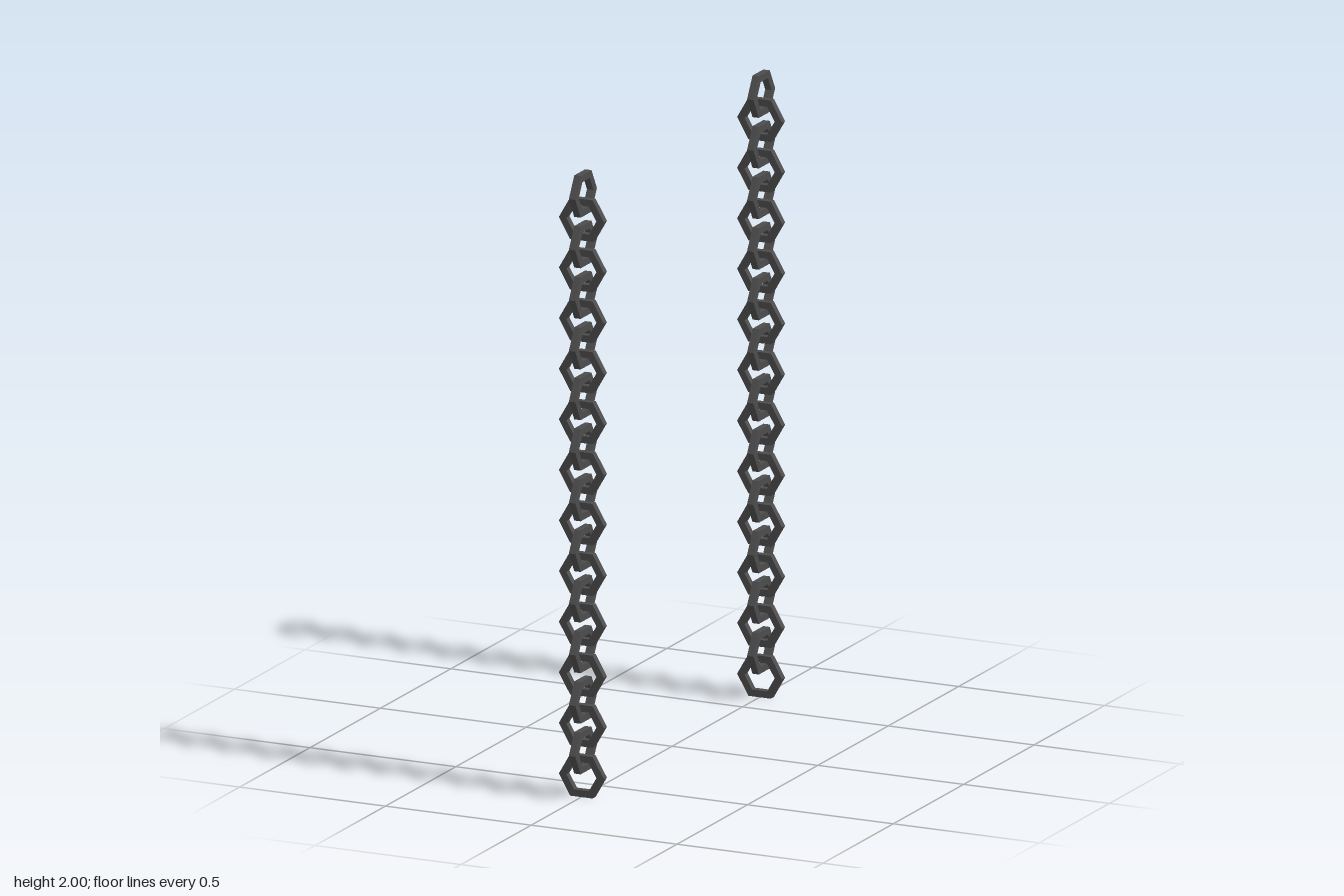
import * as THREE from 'three';

const LINKS = 24;          // links per chain
const RADIUS = 0.077;      // outer corner radius of a link
const BAR = 0.022;         // thickness of the bar
const APOTHEM = RADIUS * Math.cos(Math.PI / 6);
const CHAIN_Z = 0.633;

// Corners of a hexagon with flat top and bottom
function hexagon(radius) {
  return Array.from({ length: 6 }, (_, i) => {
    const a = (i * Math.PI) / 3;
    return new THREE.Vector2(radius * Math.cos(a), radius * Math.sin(a));
  });
}

// Hexagonal ring with a square bar section
function linkGeometry() {
  const inner = (APOTHEM - BAR) / Math.cos(Math.PI / 6);
  const shape = new THREE.Shape(hexagon(RADIUS));
  shape.holes.push(new THREE.Path(hexagon(inner).reverse()));
  const geometry = new THREE.ExtrudeGeometry(shape, { depth: BAR, bevelEnabled: false });
  return geometry.translate(0, 0, -BAR / 2);
}

// Vertical chain, every other link turned a quarter
function createChain(name, geometry, material) {
  const chain = new THREE.Group();
  chain.name = name;
  const step = (2 - 2 * APOTHEM) / (LINKS - 1);
  for (let i = 0; i < LINKS; i++) {
    const link = new THREE.Mesh(geometry, material);
    link.name = `link${i + 1}`;
    link.position.y = APOTHEM + i * step;
    link.rotation.y = i % 2 ? Math.PI / 2 : 0;
    chain.add(link);
  }
  return chain;
}

export function createModel() {
  const model = new THREE.Group();
  model.name = 'chains';
  const material = new THREE.MeshStandardMaterial({ color: 0x4c4c4c });
  const geometry = linkGeometry();

  const front = createChain('frontChain', geometry, material);
  front.position.z = CHAIN_Z;
  const back = createChain('backChain', geometry, material);
  back.position.z = -CHAIN_Z;
  model.add(front, back);
  return model;
}
